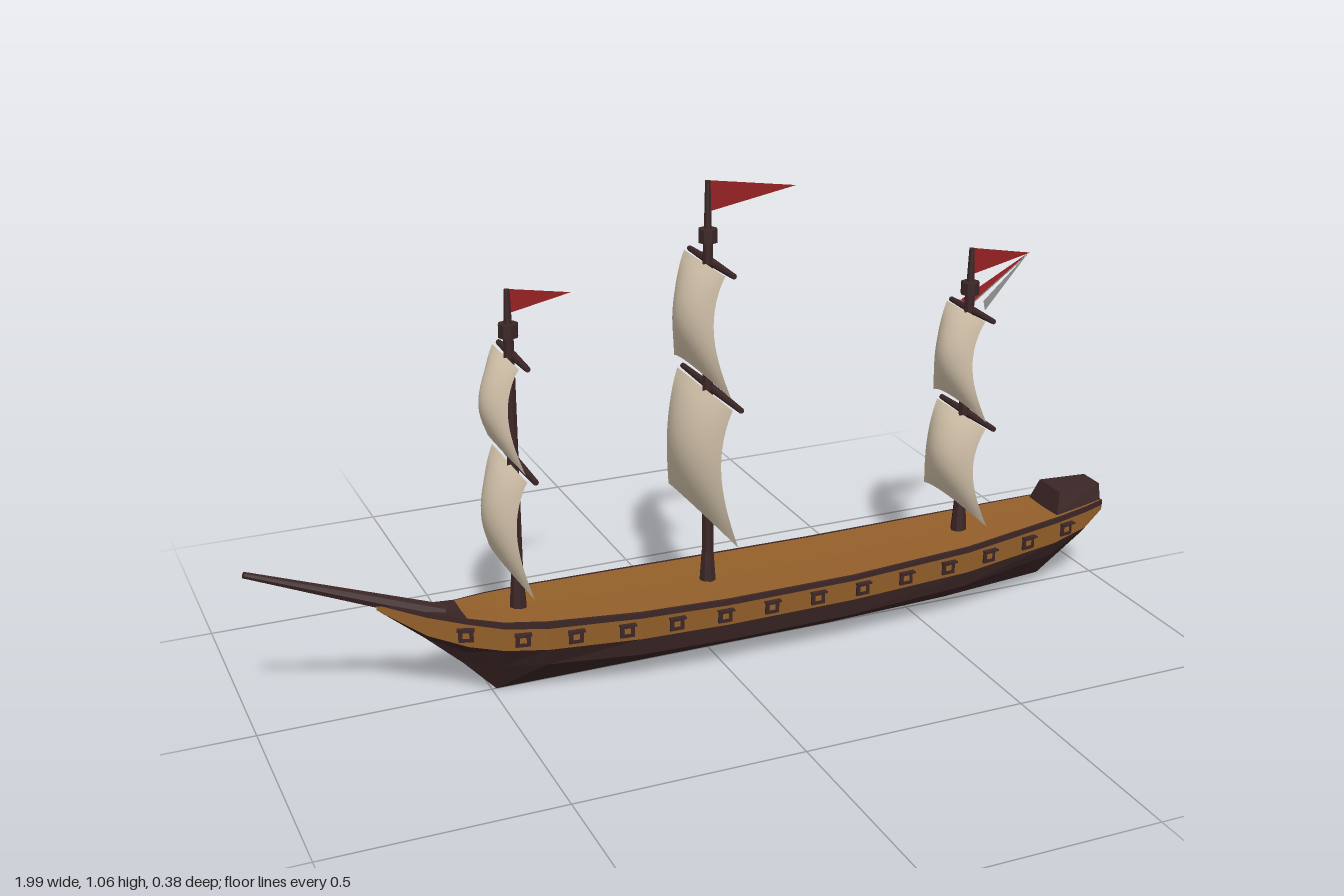
import * as THREE from 'three';

const mat = (name, color, opts = {}) => {
  const m = new THREE.MeshStandardMaterial({ color, ...opts });
  m.name = name;
  return m;
};

export function createModel() {
  const ship = new THREE.Group();
  ship.name = 'sailingShip';
  const dark = mat('darkWood', 0x3c2626, { flatShading: true });
  const gold = mat('goldenWood', 0x94602a, { flatShading: true });
  const canvas = mat('canvas', 0xdccbb2, { side: THREE.DoubleSide });
  const red = mat('flagRed', 0x951f22, { side: THREE.DoubleSide });
  const grey = mat('clothGrey', 0x808080, { side: THREE.DoubleSide });

  const add = (name, geo, material, parent = ship) => {
    const mesh = new THREE.Mesh(geo, material);
    mesh.name = name;
    parent.add(mesh);
    return mesh;
  };
  const fromPoints = (pos) => {
    const g = new THREE.BufferGeometry();
    g.setAttribute('position', new THREE.Float32BufferAttribute(pos, 3));
    g.computeVertexNormals();
    return g;
  };

  // Hull stations, bow to stern: x, keel y, band bottom, band top, rail top, half width, chine fullness
  const stations = [
    [-0.74, 0.235, 0.238, 0.25, 0.256, 0.012, 0.5],
    [-0.64, 0.15, 0.165, 0.207, 0.218, 0.024, 0.5],
    [-0.56, 0.075, 0.135, 0.187, 0.2, 0.05, 0.5],
    [-0.49, 0, 0.125, 0.176, 0.19, 0.08, 0.6],
    [-0.4, 0, 0.118, 0.168, 0.183, 0.098, 0.75],
    [-0.2, 0, 0.11, 0.16, 0.173, 0.115, 0.88],
    [0, 0, 0.107, 0.155, 0.168, 0.12, 0.9],
    [0.3, 0, 0.107, 0.155, 0.167, 0.117, 0.9],
    [0.6, 0.008, 0.113, 0.163, 0.176, 0.103, 0.85],
    [0.85, 0.025, 0.13, 0.18, 0.193, 0.073, 0.7],
    [0.94, 0.1, 0.147, 0.187, 0.2, 0.057, 0.7],
    [0.99, 0.175, 0.18, 0.192, 0.205, 0.045, 0.8],
  ];
  // Each section runs keel, chine, band bottom, band top, rail, rail inside, deck centre
  const section = ([x, k, b, t, r, w, f]) => [
    [x, k, 0], [x, k + (b - k) * 0.62, w * f], [x, b, w * 0.97], [x, t, w],
    [x, r, w], [x, r, w * 0.94], [x, r - 0.002, 0],
  ];
  const sections = stations.map(section);
  const mirror = ([x, y, z]) => [x, y, -z];
  const strip = (rows, from = 0, to = sections.length - 1) => {
    const pos = [];
    for (let i = from; i < to; i++) for (const j of rows) {
      const a = sections[i][j], b = sections[i + 1][j], c = sections[i + 1][j + 1], d = sections[i][j + 1];
      for (const p of [a, b, c, a, c, d]) pos.push(...p);
      for (const p of [a, c, b, a, d, c]) pos.push(...mirror(p));
    }
    return fromPoints(pos);
  };
  add('lowerHull', strip([0, 1]), dark);
  add('gunBand', strip([2]), gold);
  add('rail', strip([3, 4]), dark);
  add('deck', strip([5], 2), gold);
  add('foredeck', strip([5], 0, 2), dark);

  // Transom closes the stern
  const end = sections[sections.length - 1], transom = [];
  for (let j = 0; j < 6; j++) {
    transom.push(...end[6], ...end[j + 1], ...end[j]);
    transom.push(...end[6], ...mirror(end[j]), ...mirror(end[j + 1]));
  }
  add('transom', fromPoints(transom), dark);

  // Stern cabin, narrowed toward the top and the back
  const cabin = new THREE.BoxGeometry(0.13, 0.05, 0.12);
  const cp = cabin.attributes.position;
  for (let i = 0; i < cp.count; i++) {
    const top = cp.getY(i) > 0, back = cp.getX(i) > 0;
    cp.setZ(i, cp.getZ(i) * (top ? 0.72 : 1) * (back ? 0.72 : 1));
    if (top && !back) cp.setX(i, cp.getX(i) + 0.015);
  }
  add('sternCabin', cabin, dark).position.set(0.922, 0.217, 0);

  // Tapered spar between two points
  const spar = (name, a, b, r0, r1, parent = ship) => {
    const A = new THREE.Vector3(...a), B = new THREE.Vector3(...b);
    const mesh = add(name, new THREE.CylinderGeometry(r1, r0, A.distanceTo(B), 8), dark, parent);
    mesh.position.copy(A).add(B).multiplyScalar(0.5);
    mesh.quaternion.setFromUnitVectors(new THREE.Vector3(0, 1, 0), B.clone().sub(A).normalize());
    return mesh;
  };
  spar('bowsprit', [-0.6, 0.2, 0], [-0.998, 0.36, 0], 0.02, 0.007);

  // Gun ports with raised lids along both sides
  const hullAt = (x) => {
    let i = 0;
    while (x > stations[i + 1][0]) i++;
    const a = stations[i], b = stations[i + 1], t = (x - a[0]) / (b[0] - a[0]);
    const mix = (k) => a[k] + (b[k] - a[k]) * t;
    return { y: (mix(2) + mix(3)) / 2, w: mix(5) * 0.985, turn: Math.atan2(b[5] - a[5], b[0] - a[0]) };
  };
  for (let n = 0; n < 14; n++) for (const s of [1, -1]) {
    const x = -0.565 + n * 0.111, h = hullAt(x);
    const port = new THREE.Group();
    port.name = 'gunPort';
    port.position.set(x, h.y, s * h.w);
    port.rotation.y = -s * h.turn;
    add('portOpening', new THREE.BoxGeometry(0.032, 0.03, 0.007), dark, port);
    add('portPanel', new THREE.BoxGeometry(0.014, 0.012, 0.009), gold, port);
    const lid = add('portLid', new THREE.BoxGeometry(0.036, 0.004, 0.014), dark, port);
    lid.position.set(0, 0.015, s * 0.006);
    ship.add(port);
  }

  // Billowing sail: hollow sides, flared foot, arched lower edge
  const sail = (top, bottom, wTop, wBottom, belly) => {
    const g = new THREE.PlaneGeometry(2, 1, 16, 14), p = g.attributes.position;
    for (let i = 0; i < p.count; i++) {
      const u = p.getX(i), v = 0.5 - p.getY(i);
      const w = wTop + (wBottom - wTop) * Math.pow(v, 1.8) - 0.012 * Math.sin(Math.PI * v);
      const arch = 0.028 * (1 - u * u) * v * v;
      const bulge = Math.sin(Math.PI * Math.pow(v, 0.85) * 0.93) * (1 - 0.5 * u * u);
      const foot = 0.018 * v * v * (1 - u * u);
      p.setXYZ(i, -0.008 - belly * bulge - foot, top + (bottom - top) * v + arch, u * w);
    }
    g.computeVertexNormals();
    return g;
  };

  // Masts; sails list: top y, bottom y, top half width, bottom half width
  const masts = [
    { name: 'foreMast', x: -0.435, base: 0.18, top: 0.88, cap: 0.795, flag: 0.135, drop: 0.05,
      sails: [[0.74, 0.53, 0.09, 0.125], [0.51, 0.27, 0.12, 0.157]] },
    { name: 'mainMast', x: 0, base: 0.163, top: 1.058, cap: 0.943, flag: 0.2, drop: 0.065,
      sails: [[0.885, 0.638, 0.112, 0.152], [0.61, 0.322, 0.152, 0.19]] },
    { name: 'mizzenMast', x: 0.63, base: 0.172, top: 0.845, cap: 0.755, flag: 0.15, drop: 0.06,
      sails: [[0.702, 0.48, 0.088, 0.118], [0.46, 0.24, 0.112, 0.142]] },
  ];
  for (const m of masts) {
    const mast = new THREE.Group();
    mast.name = m.name;
    mast.position.x = m.x;
    ship.add(mast);
    spar('pole', [0, m.base, 0], [0, m.cap, 0], 0.014, 0.011, mast);
    spar('collar', [0, m.base, 0], [0, m.base + 0.08, 0], 0.019, 0.013, mast);
    spar('mastCap', [0, m.cap - 0.014, 0], [0, m.cap + 0.014, 0], 0.021, 0.021, mast);
    spar('topPole', [0, m.cap, 0], [0, m.top, 0], 0.009, 0.006, mast);
    for (const [top, bottom, wTop, wBottom] of m.sails) {
      for (const s of [1, -1]) spar('yard', [0.008, top, 0], [0.008, top, s * (wTop + 0.004)], 0.009, 0.006, mast);
      add('sail', sail(top, bottom, wTop - 0.004, wBottom, 0.05), canvas, mast);
    }
    add('flag', fromPoints([0.004, m.top, 0, 0.004, m.top - m.drop, 0, m.flag, m.top - m.drop * 0.45, 0]), red, mast);
  }

  // Loose pennants hanging from the aftermost flag
  add('redPennant', fromPoints([0.775, 0.818, 0, 0.64, 0.71, -0.015, 0.64, 0.71, -0.055]), red);
  add('pennantLining', fromPoints([0.775, 0.815, 0, 0.642, 0.707, -0.015, 0.642, 0.707, -0.055]), grey);
  add('greyPennant', fromPoints([0.775, 0.818, 0, 0.64, 0.715, 0.05, 0.64, 0.735, 0.042]), grey);
  return ship;
}
